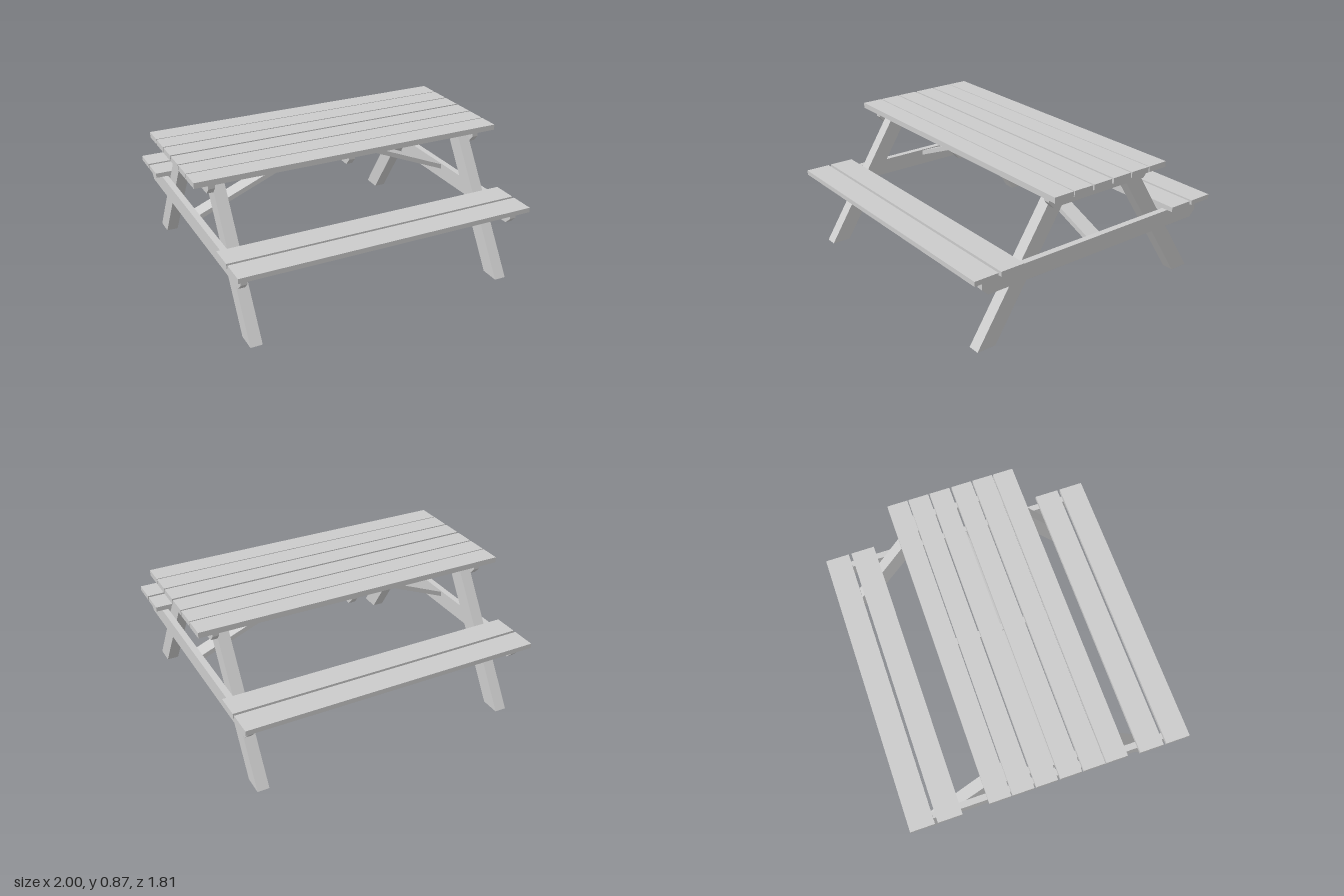
import * as THREE from 'three';

const material = new THREE.MeshStandardMaterial({ color: 0xcccccc, flatShading: true });

export function createModel() {
  const model = new THREE.Group();

  function add(name, geometry) {
    const mesh = new THREE.Mesh(geometry, material);
    mesh.name = name;
    model.add(mesh);
    return mesh;
  }

  // Box given by its lower and upper corners
  function box(name, [x0, y0, z0], [x1, y1, z1]) {
    add(name, new THREE.BoxGeometry(x1 - x0, y1 - y0, z1 - z0))
      .position.set((x0 + x1) / 2, (y0 + y1) / 2, (z0 + z1) / 2);
  }

  // Flat outline extruded symmetrically about its own plane
  function slab(points, thickness) {
    const shape = new THREE.Shape(points.map(([a, b]) => new THREE.Vector2(a, b)));
    const geometry = new THREE.ExtrudeGeometry(shape, { depth: thickness, bevelEnabled: false });
    return geometry.translate(0, 0, -thickness / 2);
  }

  // Outline in (z, y), with its thickness along x
  function sidePlank(name, points, x, thickness) {
    add(name, slab(points, thickness).rotateY(-Math.PI / 2)).position.x = x;
  }

  // Cross beam with its lower corners cut off
  function crossBeam(name, x, thickness, half, bottom, top, cut) {
    sidePlank(name, [
      [-half + cut, bottom], [half - cut, bottom], [half, bottom + 0.04],
      [half, top], [-half, top], [-half, bottom + 0.04],
    ], x, thickness);
  }

  // Six table top boards
  for (const z of [-0.354, -0.215, -0.073, 0.073, 0.215, 0.354]) {
    box('tableBoard', [-1, 0.83, z - 0.066], [1, 0.865, z + 0.066]);
  }

  // Cleat under the middle of the top
  crossBeam('middleCleat', 0, 0.04, 0.38, 0.76, 0.83, 0.035);

  for (const side of [-1, 1]) {
    // Bench boards, two on each side, and the rail below them
    for (const z of [0.654, 0.828]) {
      box('benchBoard', [-0.945, 0.475, side * z - 0.078], [0.945, 0.505, side * z + 0.078]);
    }
    box('benchRail', [-0.865, 0.39, side * 0.70 - 0.02], [0.865, 0.475, side * 0.70 + 0.02]);

    // End frame: top cleat and bench beam on the outside of the legs
    crossBeam('topCleat', side * 0.885, 0.04, 0.38, 0.75, 0.83, 0.035);
    crossBeam('benchBeam', side * 0.885, 0.04, 0.83, 0.37, 0.475, 0.04);

    // Splayed legs, cut level at foot and top
    for (const face of [-1, 1]) {
      sidePlank('leg', [
        [face * 0.835, 0], [face * 0.304, 0.83], [face * 0.182, 0.83], [face * 0.713, 0],
      ], side * 0.828, 0.074);
    }

    // Diagonal brace from the bench beam up to the middle cleat
    add('brace', slab([
      [side * 0.02, 0.786], [side * 0.865, 0.437], [side * 0.865, 0.469], [side * 0.02, 0.818],
    ], 0.1));
  }

  return model;
}
